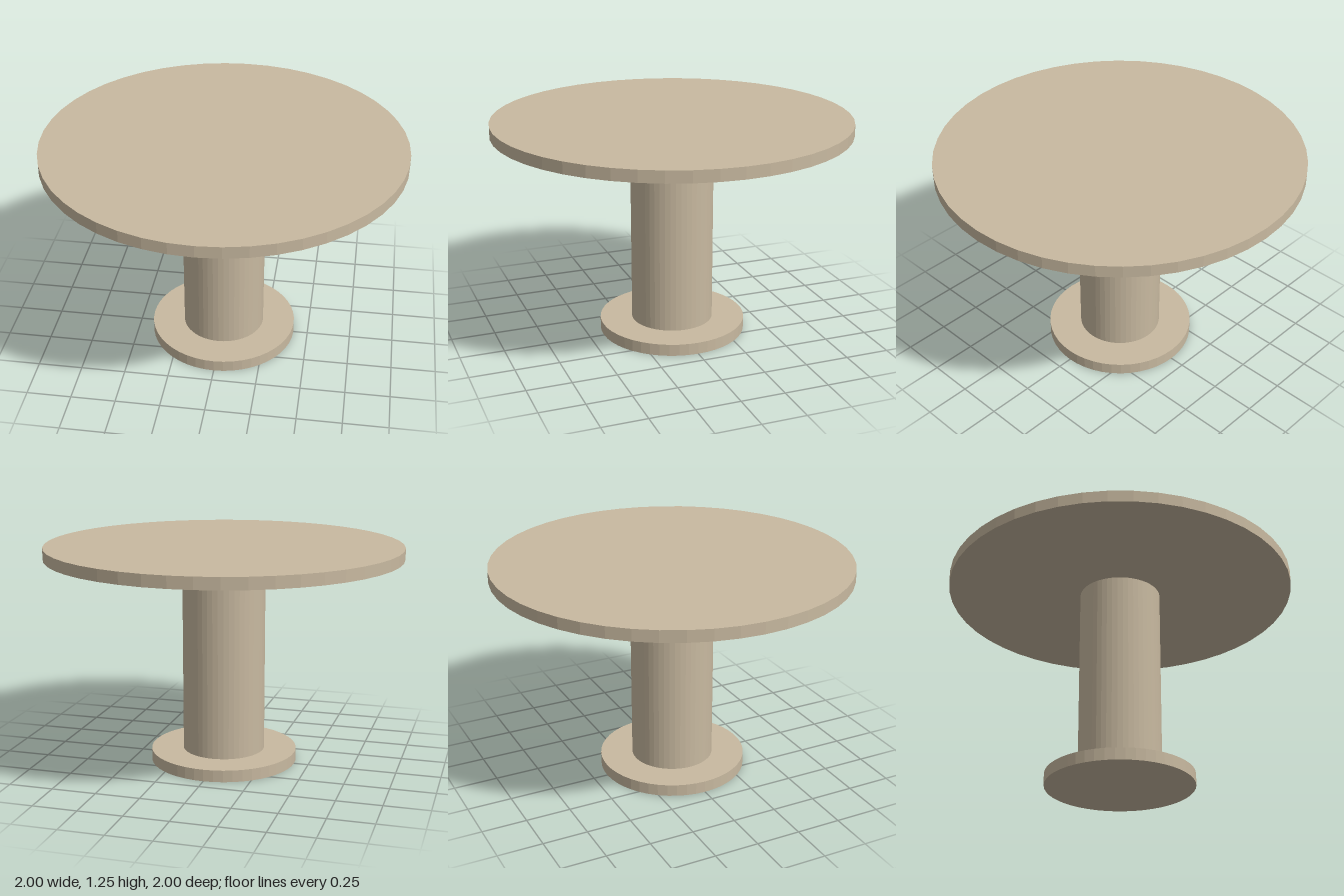
import * as THREE from 'three';

export function createModel() {
  const table = new THREE.Group();
  table.name = 'pedestalTable';
  const material = new THREE.MeshStandardMaterial({ color: 0xc8b9a0, flatShading: true });

  // Upright disc or column spanning two heights
  function addCylinder(name, radius, bottom, top) {
    const geometry = new THREE.CylinderGeometry(radius, radius, top - bottom, 48);
    const mesh = new THREE.Mesh(geometry, material);
    mesh.name = name;
    mesh.position.y = (bottom + top) / 2;
    table.add(mesh);
  }

  addCylinder('base', 0.417, 0, 0.067);
  addCylinder('column', 0.233, 0.067, 1.185);
  addCylinder('tableTop', 1, 1.185, 1.25);

  return table;
}
